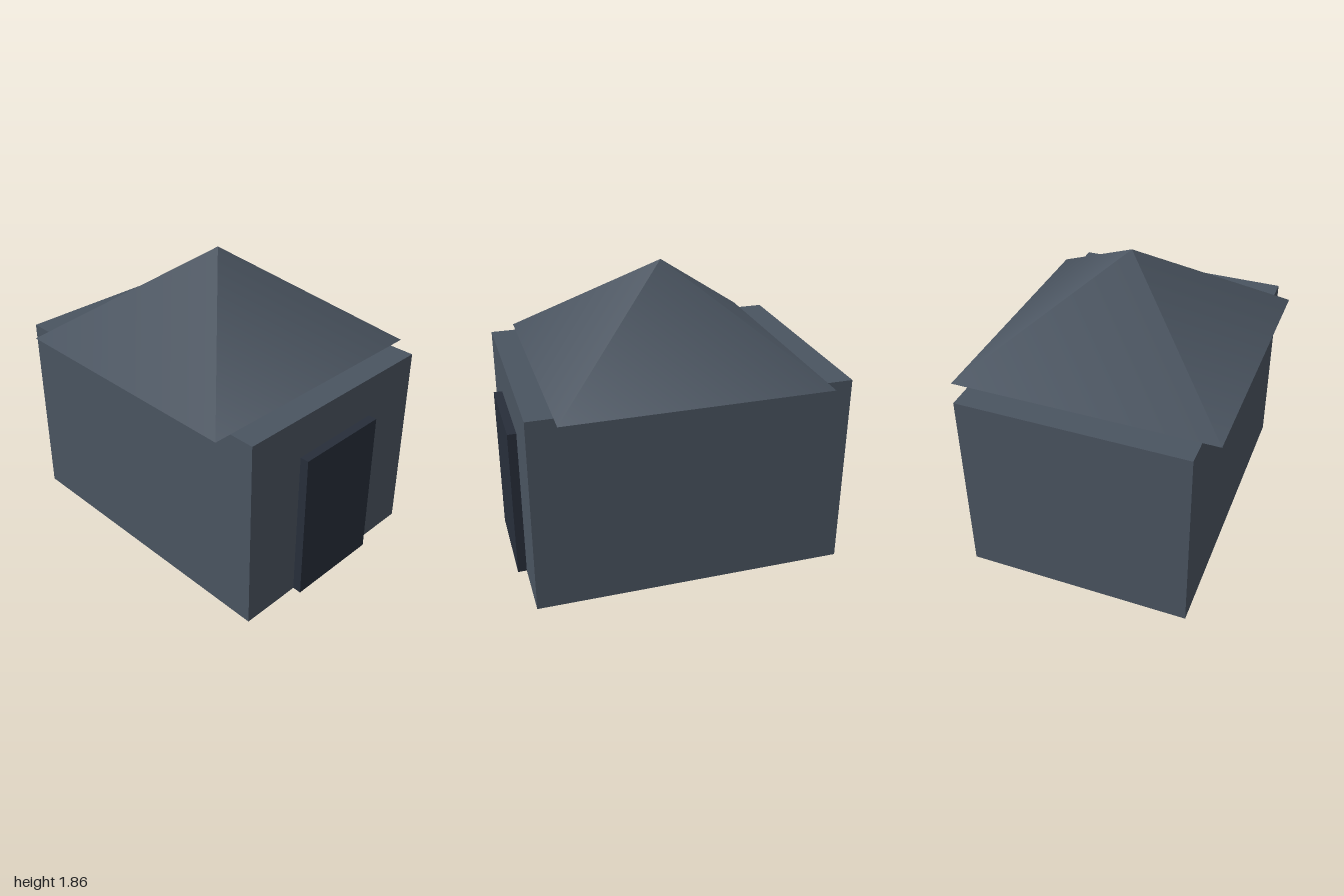
import * as THREE from 'three';

export function createModel() {
  const model = new THREE.Group();
  const slate = new THREE.MeshStandardMaterial({ color: 0x4a5460 });
  const dark = new THREE.MeshStandardMaterial({ color: 0x272e3a });

  // Box standing on the ground, centred on x, spanning zBack to zFront
  function block(name, width, height, zBack, zFront, material) {
    const mesh = new THREE.Mesh(new THREE.BoxGeometry(width, height, zFront - zBack), material);
    mesh.name = name;
    mesh.position.set(0, height / 2, (zBack + zFront) / 2);
    model.add(mesh);
  }

  const wallHeight = 1.24;
  block('walls', 1.41, wallHeight, -1, 0.945, slate);
  block('door', 0.62, 0.975, 0.89, 1, dark);

  // Square pyramid roof: a smooth four-sided cone turned by 45 degrees
  const roofHalf = 0.813, roofHeight = 0.62;
  const roof = new THREE.Mesh(new THREE.ConeGeometry(roofHalf * Math.SQRT2, roofHeight, 4), slate);
  roof.name = 'roof';
  roof.rotation.y = Math.PI / 4;
  roof.position.set(0, wallHeight + roofHeight / 2, -0.028);
  model.add(roof);

  return model;
}
